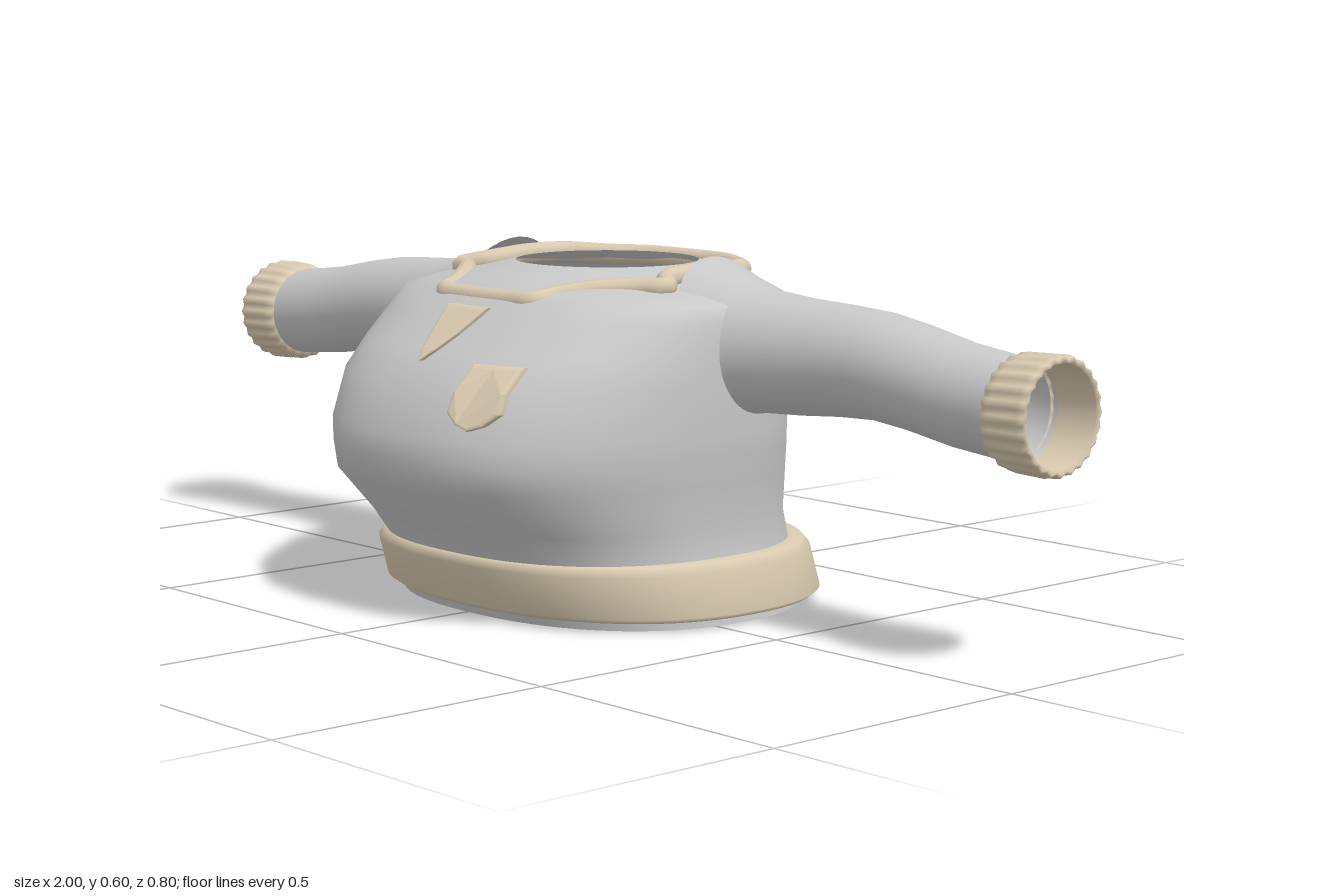
import * as THREE from 'three';

// Torso rows: y, back z, front z, half width, centre z, squareness
const TORSO = [
  [0, -0.365, 0.235, 0.365, -0.06, 2.3],
  [0.11, -0.337, 0.28, 0.35, -0.04, 2.4],
  [0.16, -0.327, 0.325, 0.346, -0.03, 2.4],
  [0.235, -0.317, 0.395, 0.357, -0.02, 2.5],
  [0.28, -0.312, 0.4, 0.365, -0.02, 2.5],
  [0.32, -0.308, 0.399, 0.369, -0.02, 2.5],
  [0.4, -0.3, 0.364, 0.37, -0.02, 2.5],
  [0.45, -0.294, 0.31, 0.369, -0.03, 2.5],
  [0.5, -0.287, 0.245, 0.366, -0.04, 2.5],
  [0.53, -0.283, 0.21, 0.358, -0.05, 2.5],
  [0.545, -0.275, 0.185, 0.3, -0.06, 2.4],
  [0.56, -0.262, 0.14, 0.23, -0.07, 2.1],
  [0.578, -0.238, 0.078, 0.158, -0.08, 2],
];

const HEM = [
  [0.02, -0.35, 0.235, 0.35, -0.06, 2.3],
  [0.016, -0.39, 0.25, 0.385, -0.06, 2.3],
  [0.024, -0.4, 0.262, 0.394, -0.06, 2.3],
  [0.095, -0.38, 0.291, 0.384, -0.05, 2.3],
  [0.11, -0.367, 0.282, 0.372, -0.05, 2.3],
  [0.112, -0.33, 0.27, 0.345, -0.04, 2.4],
];

// Sleeve rows: x, centre y, centre z, y radius, z radius, slant
const SLEEVE = [
  [0.25, 0.473, -0.09, 0.126, 0.12, 0.11],
  [0.31, 0.461, -0.095, 0.114, 0.11, 0.06],
  [0.38, 0.451, -0.1, 0.102, 0.1, 0],
  [0.46, 0.448, -0.109, 0.096, 0.095, 0],
  [0.54, 0.449, -0.115, 0.091, 0.093, 0],
  [0.62, 0.448, -0.116, 0.087, 0.092, 0],
  [0.7, 0.438, -0.113, 0.085, 0.088, 0],
  [0.8, 0.421, -0.109, 0.083, 0.084, 0],
  [0.93, 0.408, -0.106, 0.081, 0.082, 0],
];

// Cuff rows: x, radius
const CUFF = [[0.908, 0.079], [0.912, 0.088], [0.93, 0.091], [0.985, 0.093],
  [0.997, 0.091], [1, 0.086], [0.995, 0.081], [0.92, 0.08]];

// Skin a list of closed rings
function loft(rings) {
  const n = rings[0].length, index = [];
  for (let i = 0; i < rings.length - 1; i++) {
    for (let j = 0; j < n; j++) {
      const a = i * n + j, b = i * n + (j + 1) % n;
      index.push(a, b, a + n, b, b + n, a + n);
    }
  }
  const geo = new THREE.BufferGeometry().setFromPoints(rings.flat());
  geo.setIndex(index);
  geo.computeVertexNormals();
  return geo;
}

const ring = (n, fn) => Array.from({ length: n }, (_, j) => fn(j / n * Math.PI * 2));
const power = (v, p) => Math.sign(v) * Math.abs(v) ** (2 / p);

const torsoRing = ([y, back, front, w, cz, p]) => ring(72, (t) => {
  const s = power(-Math.sin(t), p);
  return new THREE.Vector3(w * power(Math.cos(t), p), y, cz + s * (s > 0 ? front - cz : cz - back));
});

// Front surface of the torso at x, y
function frontZ(x, y) {
  let i = 0;
  while (i < TORSO.length - 2 && TORSO[i + 1][0] < y) i++;
  const a = TORSO[i], b = TORSO[i + 1], k = (y - a[0]) / (b[0] - a[0]);
  const [, , front, w, cz, p] = a.map((v, q) => v + (b[q] - v) * k);
  return cz + (front - cz) * (1 - Math.min(1, Math.abs(x) / w) ** p) ** (1 / p);
}

// Flat patch bent onto the chest
function patch(points) {
  const shape = new THREE.Shape(points.map(([x, y]) => new THREE.Vector2(x, y)));
  const geo = new THREE.ExtrudeGeometry(shape, {
    depth: 0.016, bevelEnabled: true, bevelSize: 0.005, bevelThickness: 0.005, bevelSegments: 2,
  });
  const pos = geo.attributes.position;
  for (let i = 0; i < pos.count; i++) {
    pos.setZ(i, pos.getZ(i) - 0.008 + frontZ(pos.getX(i), pos.getY(i)));
  }
  geo.computeVertexNormals();
  return geo;
}

export function createModel() {
  const model = new THREE.Group();
  model.name = 'sweater';
  const knit = new THREE.MeshStandardMaterial({ name: 'grey knit', color: 0xc8c8c8, side: THREE.DoubleSide });
  const trim = new THREE.MeshStandardMaterial({ name: 'beige trim', color: 0xd9cab0, side: THREE.DoubleSide });
  const add = (name, geo, mat) => {
    const mesh = new THREE.Mesh(geo, mat);
    mesh.name = name;
    model.add(mesh);
  };

  // Open torso and hem band
  add('torso', loft(TORSO.map(torsoRing)), knit);
  add('hemBand', loft(HEM.map(torsoRing)), trim);

  // Sleeves with ribbed cuffs
  for (const [side, s] of [['left', 1], ['right', -1]]) {
    add(side + 'Sleeve', loft(SLEEVE.map(([x, cy, cz, ry, rz, slant]) => ring(40, (t) => new THREE.Vector3(
      s * (x + slant * (1 - Math.cos(t)) / 2), cy + ry * Math.cos(t), cz + s * rz * Math.sin(t))))), knit);
    add(side + 'Cuff', loft(CUFF.map(([x, r], i) => ring(96, (t) => {
      const rr = r + (i > 0 && i < 6 ? 0.0025 * Math.cos(24 * t) : 0);
      return new THREE.Vector3(s * x, 0.408 + rr * Math.cos(t), -0.105 + s * rr * Math.sin(t));
    }))), trim);
  }

  // Notched collar trim
  const half = [
    [0.06, 0.529, 0.19], [0.115, 0.532, 0.185], [0.132, 0.539, 0.15], [0.17, 0.549, 0.1],
    [0.222, 0.553, 0.052], [0.262, 0.555, 0.028], [0.232, 0.564, -0.005], [0.226, 0.568, -0.04],
    [0.238, 0.57, -0.11], [0.224, 0.57, -0.18], [0.165, 0.567, -0.228], [0.1, 0.567, -0.262],
  ].map((p) => new THREE.Vector3(...p));
  const mirrored = half.map((p) => new THREE.Vector3(-p.x, p.y, p.z)).reverse();
  const path = new THREE.CatmullRomCurve3(
    [...half, new THREE.Vector3(0, 0.567, -0.27), ...mirrored], true, 'centripetal');
  add('collarTrim', new THREE.TubeGeometry(path, 180, 0.018, 10, true), trim);

  // Chest point and pocket
  add('chestPoint', patch([[-0.045, 0.515], [-0.028, 0.48], [-0.012, 0.455], [0, 0.442],
    [0.012, 0.455], [0.028, 0.48], [0.045, 0.515]]), trim);
  add('chestPocket', patch([[0.13, 0.435], [0.13, 0.4], [0.13, 0.368], [0.15, 0.352], [0.17, 0.345],
    [0.19, 0.352], [0.21, 0.37], [0.21, 0.4], [0.21, 0.435], [0.17, 0.435]]), trim);
  return model;
}
